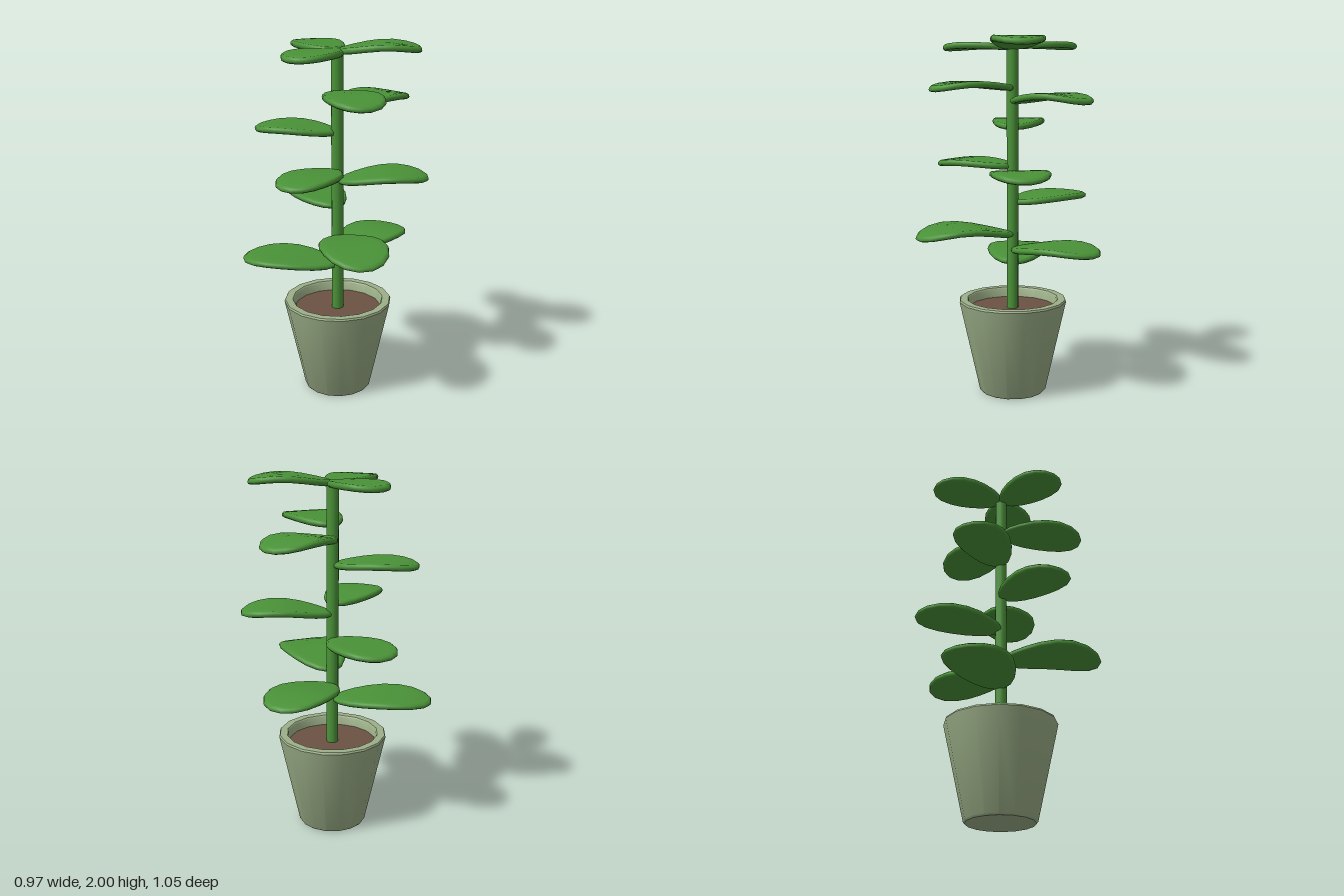
import * as THREE from 'three';
import { mergeVertices, toCreasedNormals } from 'three/addons/utils/BufferGeometryUtils.js';

const AXIS_X = -0.03, AXIS_Z = -0.035;

const leafGreen = new THREE.MeshStandardMaterial({ name: 'leaf green', color: 0x4a9238 });
const sagePot = new THREE.MeshStandardMaterial({ name: 'sage pot', color: 0x9caf88 });
const soilBrown = new THREE.MeshStandardMaterial({ name: 'soil brown', color: 0x6b5344 });

const points = (list) => list.map(([x, y]) => new THREE.Vector2(x, y));

// Rounded pad bent into a blade: base at the origin, growing along +x.
function leafGeometry(length, tipRise, arch) {
  const h = 0.017;
  const pad = new THREE.LatheGeometry(points([
    [0, -h], [0.35, -h], [0.7, -h], [0.93, -h], [0.985, -h * 0.55], [1, 0],
    [0.985, h * 0.55], [0.93, h], [0.7, h], [0.35, h], [0, h],
  ]), 18);
  pad.deleteAttribute('uv');
  pad.deleteAttribute('normal');
  const geometry = mergeVertices(pad, 1e-5);
  const p = geometry.attributes.position;
  for (let i = 0; i < p.count; i++) {
    const u = p.getX(i);
    const t = (u + 1) / 2;
    const lift = tipRise * t + arch * Math.sin(Math.PI * Math.pow(Math.max(t, 0), 1.25));
    p.setXYZ(i, t * length, p.getY(i) + lift, p.getZ(i) * length * 0.315 * (1 + 0.2 * u));
  }
  geometry.computeVertexNormals();
  return geometry;
}

// Each leaf: heading in degrees (from +x towards +z), length, base height, tip rise, arch
const LEAVES = [
  [221, 0.56, 0.745, 0.005, 0.022],
  [-22, 0.54, 0.825, 0.015, 0.03],
  [102, 0.565, 0.912, 0.008, 0.048],
  [-90, 0.495, 1.092, 0.013, 0.015],
  [28, 0.505, 1.24, 0.02, 0.033],
  [152, 0.466, 1.295, 0.0, 0.019],
  [223, 0.47, 1.512, 0.005, 0.02],
  [-16, 0.505, 1.655, 0.0, 0.033],
  [99.5, 0.485, 1.728, -0.007, 0.025],
  [150, 0.42, 1.948, -0.002, 0.012],
  [-90, 0.42, 1.953, 0.002, 0.01],
  [30, 0.45, 1.95, 0.01, 0.028],
];

export function createModel() {
  const plant = new THREE.Group();
  plant.name = 'pottedPlant';

  const add = (name, geometry, material, y, parent = plant) => {
    const mesh = new THREE.Mesh(geometry, material);
    mesh.name = name;
    mesh.position.set(AXIS_X, y, AXIS_Z);
    parent.add(mesh);
    return mesh;
  };

  // Tapered pot with a softened rim and a hollow top
  const pot = new THREE.LatheGeometry(points([
    [0, 0], [0.185, 0], [0.192, 0.008], [0.307, 0.53], [0.302, 0.54],
    [0.26, 0.54], [0.254, 0.533], [0.245, 0.46], [0, 0.46],
  ]), 16);
  add('pot', toCreasedNormals(pot, 0.6), sagePot, 0);

  // Soil disc and stem
  add('soil', new THREE.CylinderGeometry(0.252, 0.245, 0.03, 24), soilBrown, 0.47);
  add('stem', new THREE.CylinderGeometry(0.033, 0.033, 1.49, 12), leafGreen, 1.22);

  // Leaves spiralling up the stem
  const foliage = new THREE.Group();
  foliage.name = 'leaves';
  plant.add(foliage);
  LEAVES.forEach(([heading, length, y, tipRise, arch], i) => {
    const leaf = add(`leaf${i + 1}`, leafGeometry(length, tipRise, arch), leafGreen, y, foliage);
    leaf.rotation.y = -THREE.MathUtils.degToRad(heading);
  });

  return plant;
}
